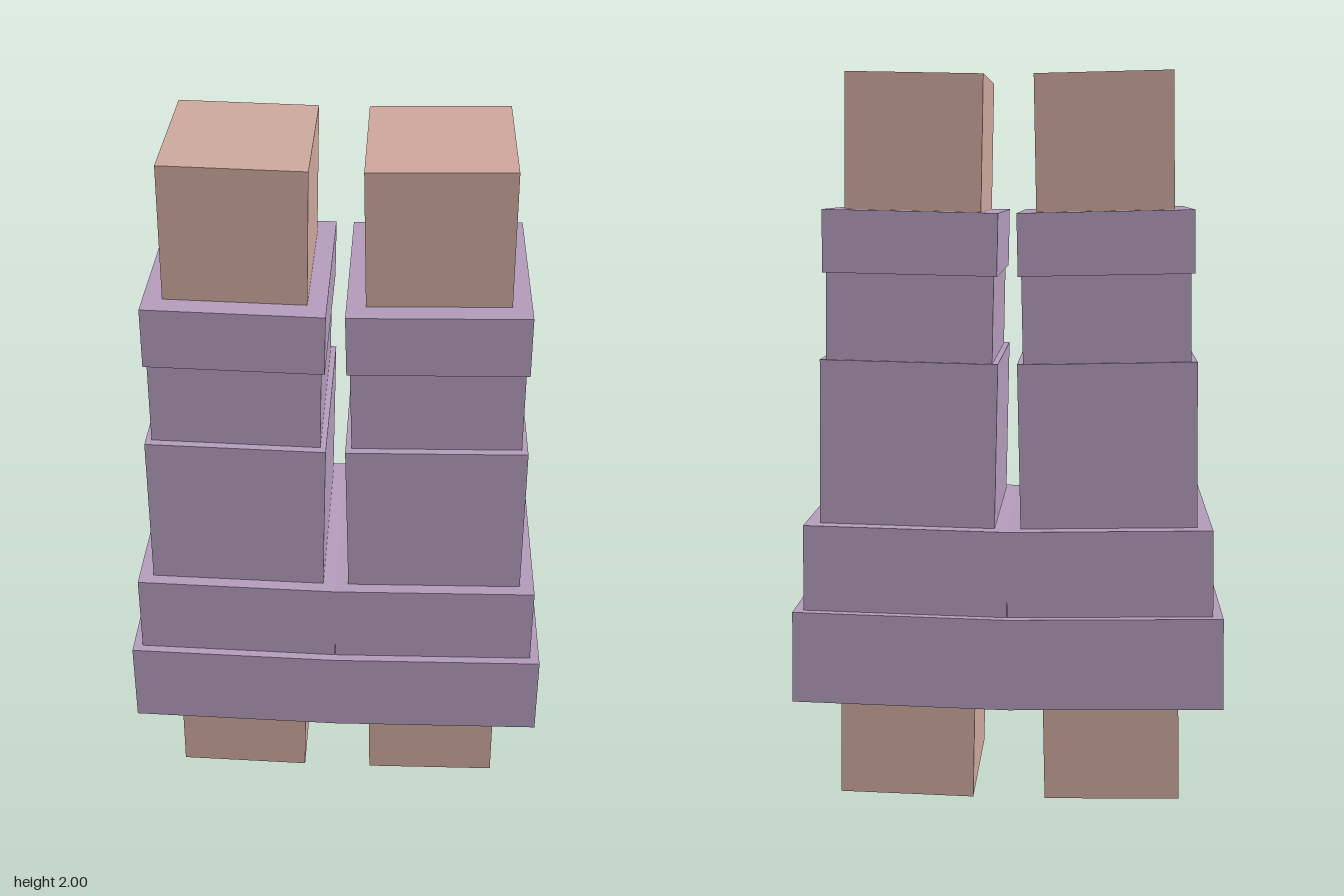
import * as THREE from 'three';

export function createModel() {
  const model = new THREE.Group();
  model.name = 'trouserLegs';

  const skin = new THREE.MeshStandardMaterial({ color: 0xcfa99e });
  skin.name = 'skin';
  const cloth = new THREE.MeshStandardMaterial({ color: 0xb59dbd });
  cloth.name = 'purple cloth';

  // name, material, bottom y, top y, width, depth, z centre
  const blocks = [
    ['foot', skin, 0.006, 0.36, 0.376, 0.42, 0.0],
    ['hem', cloth, 0.312, 0.565, 0.604, 0.655, 0.0],
    ['lowerBand', cloth, 0.56, 0.801, 0.552, 0.608, 0.0],
    ['lowerSleeve', cloth, 0.79, 1.246, 0.474, 0.536, 0.002],
    ['upperSleeve', cloth, 1.24, 1.485, 0.443, 0.508, -0.006],
    ['cuff', cloth, 1.477, 1.641, 0.46, 0.53, -0.006],
    ['upperLimb', skin, 1.6, 1.996, 0.362, 0.41, -0.005],
  ];

  // Each leg is a stack of blocks leaning slightly towards the middle
  for (const side of [1, -1]) {
    const leg = new THREE.Group();
    leg.name = side > 0 ? 'leftLeg' : 'rightLeg';
    leg.position.x = side * 0.289;
    leg.rotation.z = side * 0.0215;
    for (const [name, material, y0, y1, width, depth, z] of blocks) {
      const mesh = new THREE.Mesh(new THREE.BoxGeometry(width, y1 - y0, depth), material);
      mesh.name = name;
      mesh.position.set(0, (y0 + y1) / 2, z);
      leg.add(mesh);
    }
    model.add(leg);
  }
  return model;
}
